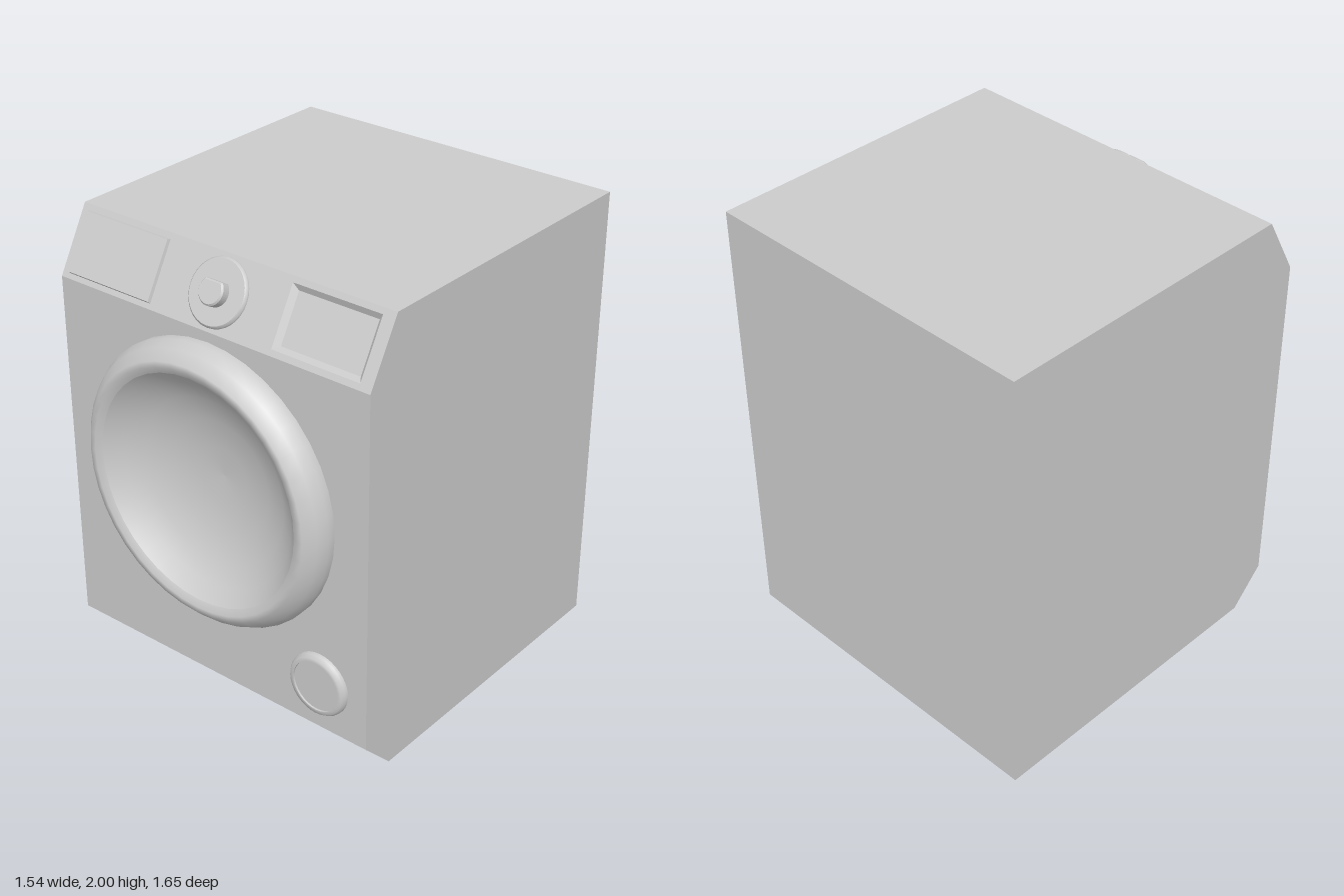
import * as THREE from 'three';

const mat = new THREE.MeshStandardMaterial({ color: 0xcccccc });

function add(parent, name, geometry, x = 0, y = 0, z = 0) {
  const mesh = new THREE.Mesh(geometry, mat);
  mesh.name = name;
  mesh.position.set(x, y, z);
  parent.add(mesh);
  return mesh;
}

const vec = ([x, y]) => new THREE.Vector2(x, y);

// Rectangle outline, usable as a shape or a hole
const rect = (x0, y0, x1, y1) =>
  new THREE.Shape([[x0, y0], [x1, y0], [x1, y1], [x0, y1]].map(vec));

// Lathe whose axis points to +z; points are [radius, z]
const turned = (points, segments = 32) =>
  new THREE.LatheGeometry(points.map(vec), segments).rotateX(Math.PI / 2);

// Four-sided frustum: moves the front rim of a box inwards
function bevelledBox(w, h, d, inset) {
  const g = new THREE.BoxGeometry(w, h, d).translate(0, 0, d / 2);
  const p = g.attributes.position;
  for (let i = 0; i < p.count; i++) {
    if (p.getZ(i) > d / 2) {
      p.setX(i, p.getX(i) - Math.sign(p.getX(i)) * inset);
      p.setY(i, p.getY(i) - Math.sign(p.getY(i)) * inset);
    }
  }
  const flat = g.toNonIndexed();
  flat.computeVertexNormals();
  return flat;
}

export function createModel() {
  const model = new THREE.Group();
  model.name = 'washingMachine';
  const halfW = 0.77, doorY = 1.08;

  // Cabinet: side profile as [z, y], one panel per edge
  const profile = [[0.56, 0], [0.71, 0.155], [0.71, 1.735], [0.56, 2], [-0.825, 2], [-0.825, 0]];
  const names = ['plinth', 'frontPanel', 'controlPanel', 'topPanel', 'backPanel', 'basePanel'];
  const cabinet = new THREE.Group();
  cabinet.name = 'cabinet';
  model.add(cabinet);

  const screen = { x: 0.51, hw: 0.205, hh: 0.127, inset: 0.021, depth: 0.022 };
  profile.forEach(([z0, y0], i) => {
    const [z1, y1] = profile[(i + 1) % profile.length];
    const half = Math.hypot(z1 - z0, y1 - y0) / 2;
    const shape = rect(-halfW, -half, halfW, half);
    if (names[i] === 'frontPanel') {
      shape.holes.push(new THREE.Path().absarc(0, doorY - (y0 + y1) / 2, 0.52, 0, Math.PI * 2, true));
    }
    if (names[i] === 'controlPanel') {
      const { x, hw, hh } = screen;
      shape.holes.push(rect(x - hw, -hh, x + hw, hh));
    }
    const panel = add(cabinet, names[i], new THREE.ShapeGeometry(shape, 32), 0, (y0 + y1) / 2, (z0 + z1) / 2);
    panel.rotation.x = Math.atan2(z1 - z0, y1 - y0);
  });
  for (const s of [-1, 1]) {
    const side = new THREE.Shape(profile.map(([z, y]) => vec([-s * z, y])));
    add(cabinet, s < 0 ? 'rightSide' : 'leftSide', new THREE.ShapeGeometry(side), s * halfW)
      .rotation.y = s * Math.PI / 2;
  }

  // Door: rounded ring and concave bowl
  const door = new THREE.Group();
  door.name = 'door';
  door.position.set(0, doorY, 0.71);
  model.add(door);
  add(door, 'doorRing', turned([[0.612, 0], [0.612, 0.035], [0.59, 0.075], [0.55, 0.115], [0.525, 0.115], [0.498, 0.1]], 40));
  add(door, 'doorBowl', turned([[0.498, 0.1], [0.44, 0.045], [0.36, -0.005], [0.25, -0.045], [0.12, -0.067], [0, -0.072]], 40));

  // Round filter cap, low on the model's left
  const filter = new THREE.Group();
  filter.name = 'filterCap';
  filter.position.set(0.54, 0.37, 0.71);
  model.add(filter);
  add(filter, 'filterRing', turned([[0.14, 0], [0.138, 0.015], [0.128, 0.03], [0.112, 0.03]]));
  add(filter, 'filterRingInside', turned([[0.112, 0.03], [0.111, 0.022]]));
  add(filter, 'filterDisc', new THREE.CircleGeometry(0.112, 32), 0, 0, 0.023);

  // Controls, laid on the sloping panel
  const controls = new THREE.Group();
  controls.name = 'controls';
  controls.position.set(0, 1.8675, 0.635);
  controls.rotation.x = Math.atan2(-0.15, 0.265);
  model.add(controls);

  add(controls, 'detergentDrawer', bevelledBox(0.436, 0.256, 0.013, 0.004), -0.517, -0.002, 0);

  // Recessed display: four sloping walls, then the glass
  const { x, hw, hh, inset, depth } = screen;
  const display = new THREE.Group();
  display.name = 'display';
  display.position.x = x;
  controls.add(display);
  const iw = hw - inset, ih = hh - inset;
  const outer = [[-hw, -hh], [hw, -hh], [hw, hh], [-hw, hh]];
  const inner = [[-iw, -ih], [iw, -ih], [iw, ih], [-iw, ih]];
  for (let i = 0; i < 4; i++) {
    const j = (i + 1) % 4;
    const [a, b] = [outer[i], outer[j]].map(p => [...p, 0]);
    const [c, d] = [inner[j], inner[i]].map(p => [...p, -depth]);
    const wall = new THREE.BufferGeometry();
    wall.setAttribute('position', new THREE.Float32BufferAttribute([a, b, c, a, c, d].flat(), 3));
    wall.computeVertexNormals();
    add(display, 'displayWall', wall);
  }
  add(display, 'displayGlass', new THREE.PlaneGeometry(iw * 2, ih * 2), 0, 0, -depth);

  // Dial: bevelled disc with a teardrop knob
  add(controls, 'dialRim', turned([[0.137, 0], [0.137, 0.009], [0.129, 0.017]]));
  add(controls, 'dialFace', new THREE.CircleGeometry(0.129, 32), 0, 0, 0.017);
  const drop = new THREE.Shape();
  drop.moveTo(0, 0.082);
  drop.absarc(0, 0, 0.058, Math.PI * 0.75, Math.PI * 2.25, false);
  drop.closePath();
  add(controls, 'dialKnob', new THREE.ExtrudeGeometry(drop, {
    depth: 0.035, curveSegments: 16, bevelThickness: 0.007, bevelSize: 0.006, bevelOffset: -0.006, bevelSegments: 1,
  }), 0, 0, 0.016);

  return model;
}
